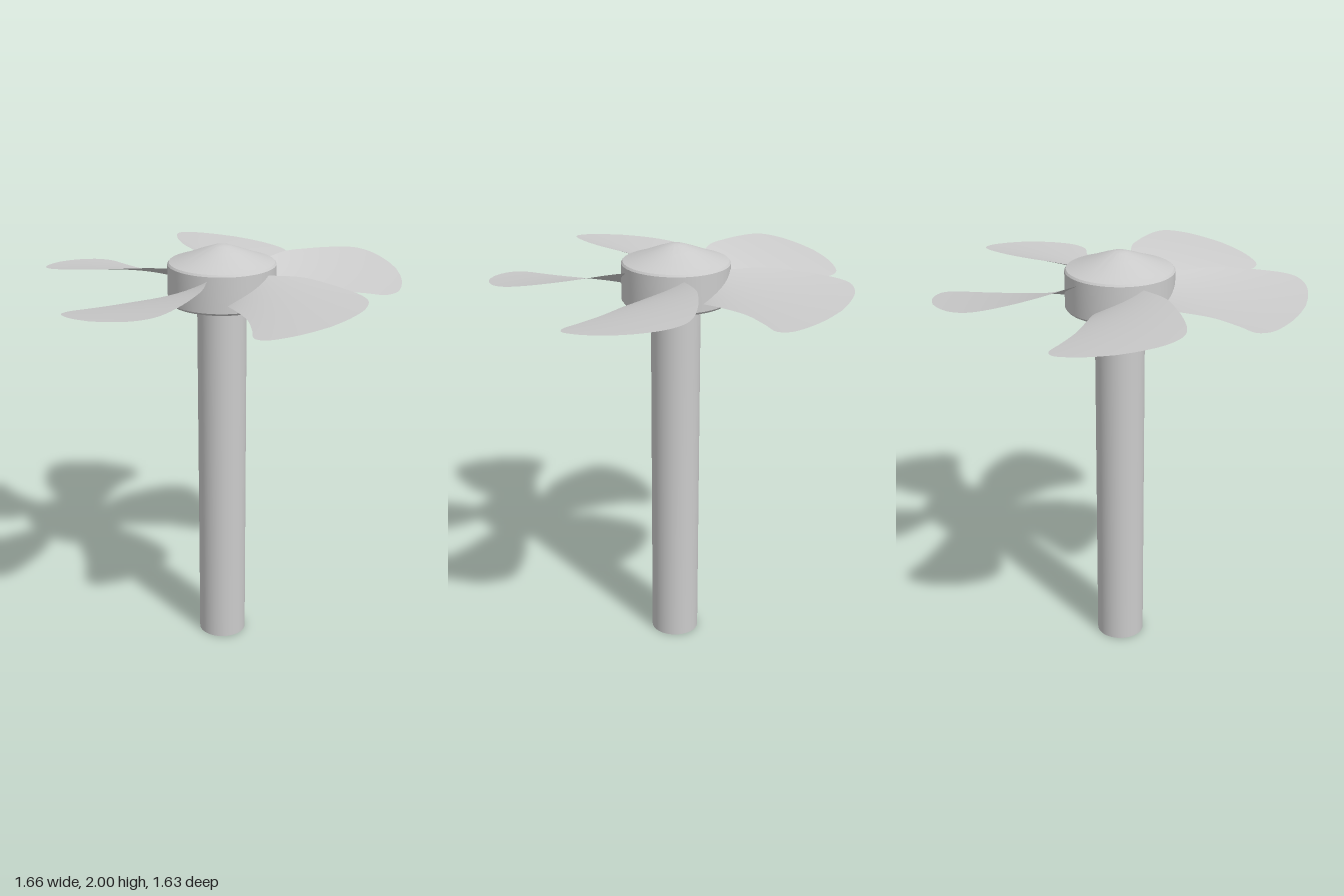
import * as THREE from 'three';
import { toCreasedNormals } from 'three/addons/utils/BufferGeometryUtils.js';

const BLADES = 5;
const BLADE_Y = 1.835;
const PITCH = 0.115; // rise per unit of sideways offset / radius

// Edge curve of a blade, from root to tip, as [sideways, radial] points
const edge = (pts) => new THREE.CatmullRomCurve3(pts.map(([t, r]) => new THREE.Vector3(t, r, 0)));

// Thin twisted blade pointing along +z, spanned between its two edges
function bladeGeometry() {
  const low = edge([[-0.09, 0.17], [-0.11, 0.24], [-0.135, 0.36], [-0.17, 0.5], [-0.225, 0.62],
    [-0.268, 0.705], [-0.25, 0.765], [-0.18, 0.81], [-0.09, 0.838], [0.01, 0.85]]);
  const high = edge([[0.07, 0.17], [0.12, 0.24], [0.21, 0.37], [0.25, 0.48], [0.275, 0.575],
    [0.288, 0.69], [0.272, 0.75], [0.21, 0.805], [0.11, 0.838], [0.01, 0.85]]);
  const geo = new THREE.PlaneGeometry(1, 1, 12, 45);
  const pos = geo.attributes.position;
  const a = new THREE.Vector3(), b = new THREE.Vector3();
  for (let i = 0; i < pos.count; i++) {
    const u = pos.getX(i) + 0.5;
    const v = THREE.MathUtils.clamp(pos.getY(i) + 0.5, 0, 1);
    high.getPoint(v, a);
    low.getPoint(v, b);
    a.lerp(b, u);
    pos.setXYZ(i, a.x, BLADE_Y + PITCH * a.x / a.y, a.y);
  }
  geo.computeVertexNormals();
  return geo;
}

export function createModel() {
  const group = new THREE.Group();
  const material = new THREE.MeshStandardMaterial({ color: 0xcccccc });
  const sheet = new THREE.MeshStandardMaterial({ color: 0xcccccc, side: THREE.DoubleSide });

  const fan = new THREE.Group();
  fan.name = 'propeller';
  fan.position.set(-0.005, 0, -0.04);
  group.add(fan);

  // Shaft
  const shaft = new THREE.Mesh(new THREE.CylinderGeometry(0.115, 0.115, 1.9, 48), material);
  shaft.name = 'shaft';
  shaft.position.y = 0.95;
  fan.add(shaft);

  // Hub: hollow cup below, bevelled rim, shallow cone with a rounded peak
  const profile = [[0, 1.9], [0.215, 1.9], [0.215, 1.745], [0.22, 1.735], [0.242, 1.735],
    [0.25, 1.745], [0.25, 1.912], [0.243, 1.921], [0.2, 1.935], [0.1, 1.974], [0.04, 1.995],
    [0.02, 1.999], [0, 2]].map(([x, y]) => new THREE.Vector2(x, y));
  const hub = new THREE.Mesh(toCreasedNormals(new THREE.LatheGeometry(profile, 64), 0.5), sheet);
  hub.name = 'hub';
  fan.add(hub);

  // Blades
  const geo = bladeGeometry();
  for (let i = 0; i < BLADES; i++) {
    const blade = new THREE.Mesh(geo, sheet);
    blade.name = `blade${i + 1}`;
    blade.rotation.y = (i * Math.PI * 2) / BLADES;
    fan.add(blade);
  }
  return group;
}
